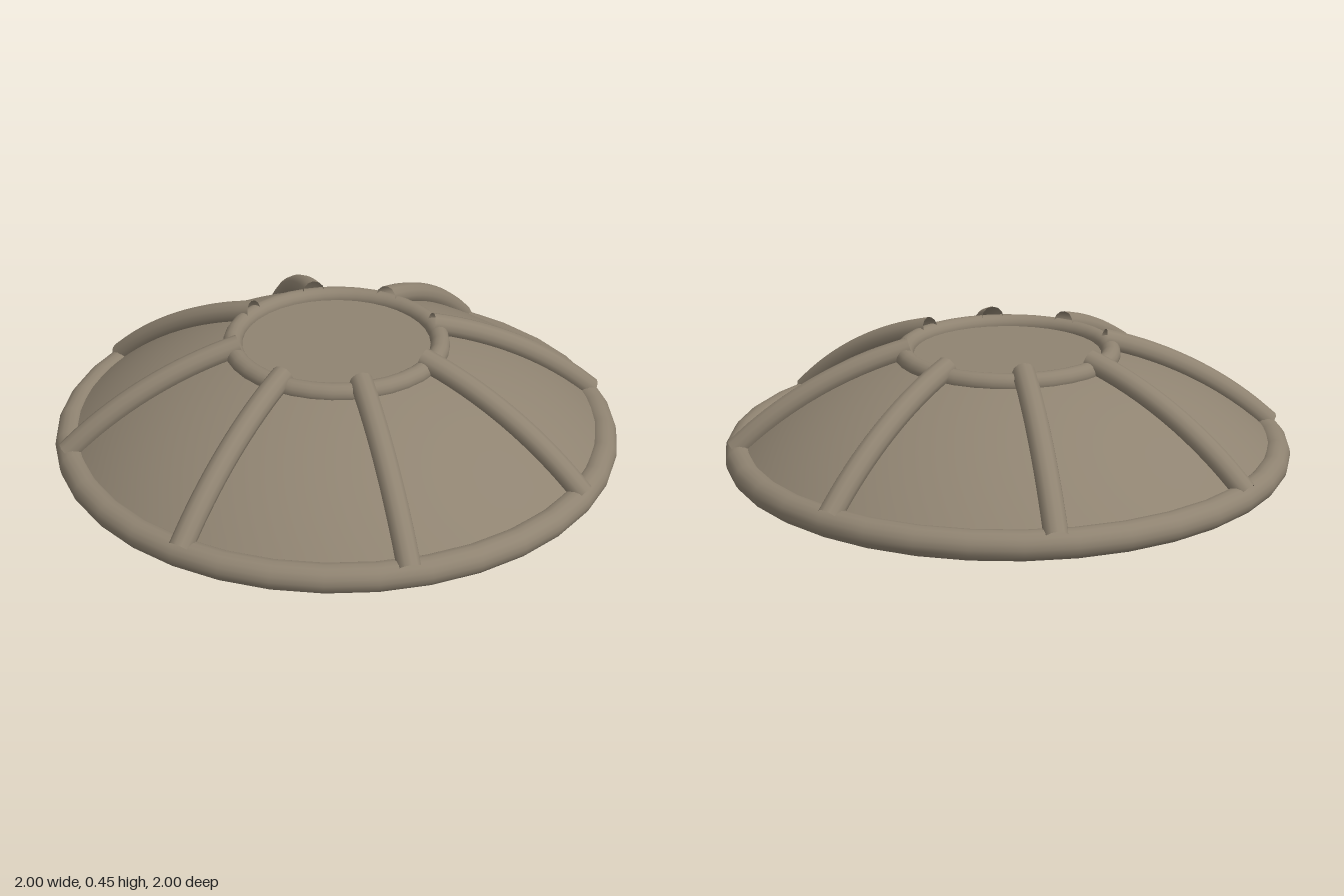
import * as THREE from 'three';

const R = 1.4;          // curvature radius of the dome
const RIBS = 8;

// height of a sphere of radius R, centred at height c, at distance r from the axis
const arcY = (r, c) => c + Math.sqrt(R * R - r * r);

// points (r, y) along the arc between two distances from the axis
function arc(r0, r1, c, n) {
  return Array.from({ length: n + 1 }, (_, i) => {
    const r = r0 + (r1 - r0) * i / n;
    return new THREE.Vector2(r, arcY(r, c));
  });
}

export function createModel() {
  const model = new THREE.Group();
  const material = new THREE.MeshStandardMaterial({ color: 0x8f8371, side: THREE.DoubleSide });

  const add = (name, geometry, parent = model) => {
    const mesh = new THREE.Mesh(geometry, material);
    mesh.name = name;
    parent.add(mesh);
    return mesh;
  };

  // thin open shell, curved from the rim up to the top ring
  add('domeShell', new THREE.LatheGeometry(arc(0.95, 0.365, -0.967, 12), 64));

  // flat panel closing the top
  const panel = add('topPanel', new THREE.CircleGeometry(0.365, 48));
  panel.rotation.x = -Math.PI / 2;
  panel.position.y = 0.385;

  // round rims at the base and the top
  const ring = (name, radius, tube, y) => {
    const mesh = add(name, new THREE.TorusGeometry(radius, tube, 16, 36));
    mesh.rotation.x = Math.PI / 2;
    mesh.position.y = y;
  };
  ring('baseRim', 0.951, 0.049, 0.049);
  ring('topRing', 0.364, 0.034, 0.386);

  // curved tubular ribs running down the shell
  const path = new THREE.CatmullRomCurve3(
    arc(0.345, 0.962, -0.942, 8).map(p => new THREE.Vector3(p.x, p.y, 0)));
  const ribGeometry = new THREE.TubeGeometry(path, 16, 0.04, 12, false);
  const ribs = new THREE.Group();
  ribs.name = 'ribs';
  model.add(ribs);
  for (let i = 0; i < RIBS; i++) {
    const rib = add('rib', ribGeometry, ribs);
    rib.rotation.y = THREE.MathUtils.degToRad(16) + i * Math.PI * 2 / RIBS;
  }

  return model;
}
